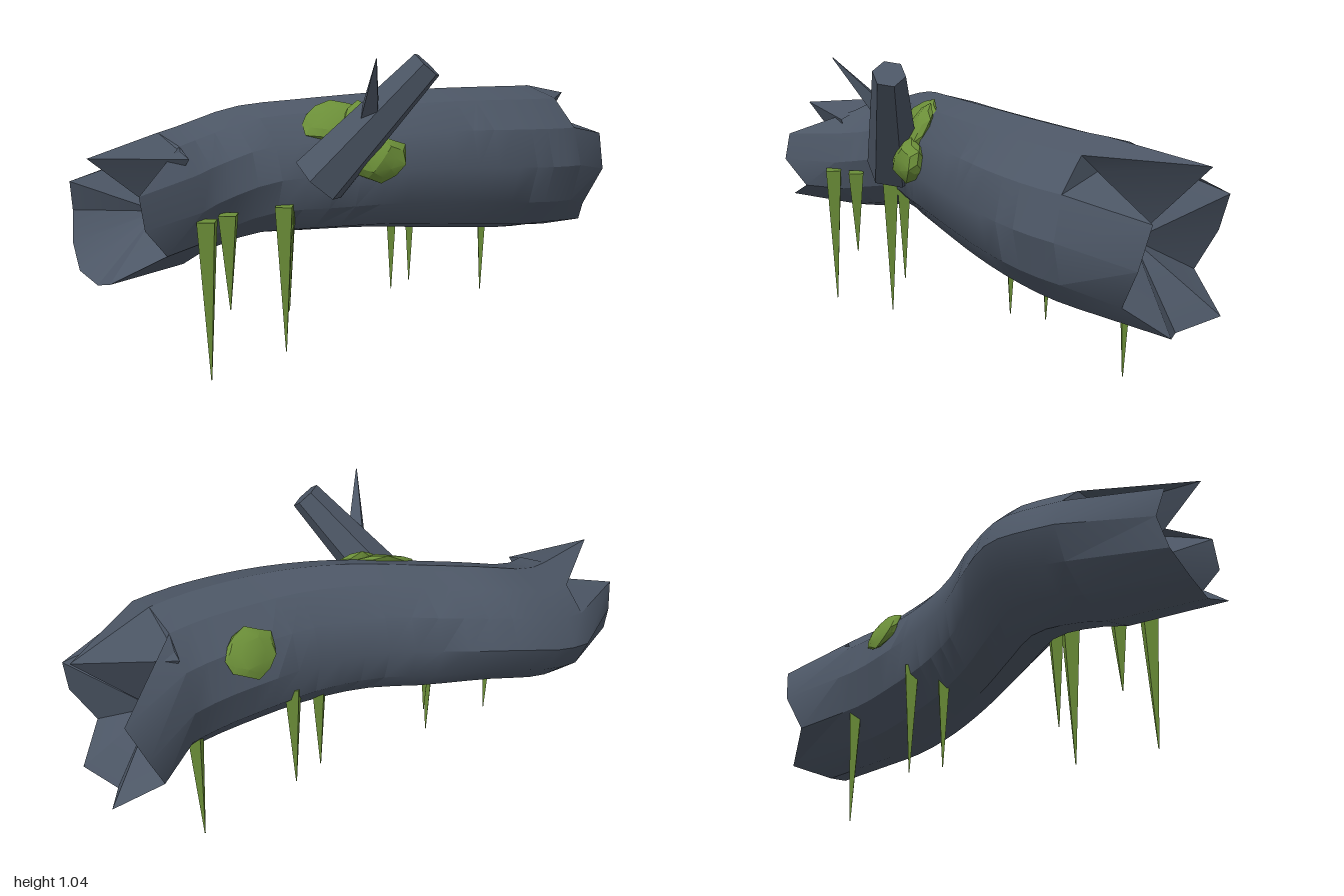
import * as THREE from 'three';
import { toCreasedNormals } from 'three/addons/utils/BufferGeometryUtils.js';

const SIDES = 12;

// Smooth value along the log, from samples evenly spaced over x = -1..1
function along(samples) {
  const curve = new THREE.SplineCurve(samples.map((v, i) => new THREE.Vector2(i, v)));
  return (x) => curve.getPoint((x + 1) / 2).y;
}
const top = along([0.755, 0.78, 0.80, 0.85, 0.87, 0.885, 0.89, 0.885, 0.875, 0.86, 0.82]);
const bottom = along([0.355, 0.33, 0.36, 0.40, 0.405, 0.405, 0.385, 0.36, 0.335, 0.32, 0.32]);
const back = along([-0.28, -0.435, -0.47, -0.43, -0.32, -0.19, -0.11, -0.075, -0.055, -0.08, -0.13]);
const front = along([0.06, 0.07, 0.0, 0.04, 0.16, 0.27, 0.36, 0.43, 0.46, 0.44, 0.34]);

// Point on the log surface; angle 0 is the top, turning towards +z.
// The outside of the rear bend is slightly ridged.
function logPoint(x, a) {
  const t = top(x), b = bottom(x), k = back(x), f = front(x);
  const ridge = THREE.MathUtils.smoothstep(-x, 0.1, 0.4) * Math.max(0, -Math.sin(a)) * Math.abs(Math.cos(a));
  const r = 1 - 0.15 * ridge;
  return new THREE.Vector3(x,
    (t + b) / 2 + r * Math.cos(a) * (t - b) / 2,
    (f + k) / 2 + r * Math.sin(a) * (f - k) / 2);
}

// Splintered ends: round outline, with the x that each of the twelve columns reaches
const rightEnd = {
  y: 0.545, z: 0.125, r: 0.265, core: 0.74,
  reach: [0.995, 0.69, 0.94, 0.92, 0.85, 0.96, 0.9, 0.98, 0.83, 0.89, 0.94, 0.69],
};
const leftEnd = {
  y: 0.555, z: -0.125, r: 0.2, core: -0.76,
  reach: [-1, -0.7, -0.93, -0.93, -0.84, -1, -0.985, -0.99, -0.97, -0.95, -0.97, -0.7],
};

function logGeometry() {
  const angles = Array.from({ length: SIDES }, (_, j) => j / SIDES * Math.PI * 2);
  const endRing = (e) => angles.map((a, j) =>
    new THREE.Vector3(e.reach[j], e.y + e.r * Math.cos(a), e.z + e.r * Math.sin(a)));
  const rings = [endRing(leftEnd)];
  for (let i = 0; i <= 18; i++) {
    const x = -0.69 + i * 1.37 / 18;
    rings.push(angles.map((a) => logPoint(x, a)));
  }
  rings.push(endRing(rightEnd));

  const pos = [];
  const tri = (...pts) => pts.forEach((p) => pos.push(p.x, p.y, p.z));
  const last = rings.length - 1;
  const leftCore = new THREE.Vector3(leftEnd.core, leftEnd.y, leftEnd.z);
  const rightCore = new THREE.Vector3(rightEnd.core, rightEnd.y, rightEnd.z);
  for (let j = 0; j < SIDES; j++) {
    const n = (j + 1) % SIDES;
    for (let i = 0; i < last; i++) {
      tri(rings[i][j], rings[i][n], rings[i + 1][j]);
      tri(rings[i + 1][j], rings[i][n], rings[i + 1][n]);
    }
    tri(leftCore, rings[0][n], rings[0][j]);
    tri(rightCore, rings[last][j], rings[last][n]);
  }
  const g = new THREE.BufferGeometry();
  g.setAttribute('position', new THREE.Float32BufferAttribute(pos, 3));
  return toCreasedNormals(g, 0.5);
}

export function createModel() {
  const model = new THREE.Group();
  const bark = new THREE.MeshStandardMaterial({ color: 0x4c5665 });
  bark.name = 'slate bark';
  const moss = new THREE.MeshStandardMaterial({ color: 0x6b8e38 });
  moss.name = 'moss green';

  const add = (name, geometry, material) => {
    const mesh = new THREE.Mesh(geometry, material);
    mesh.name = name;
    model.add(mesh);
    return mesh;
  };
  const UP = new THREE.Vector3(0, 1, 0);

  // Tapered rod between two points
  function rod(name, from, to, r0, r1, sides, material) {
    const a = new THREE.Vector3(...from), b = new THREE.Vector3(...to);
    const g = new THREE.CylinderGeometry(r1, r0, a.distanceTo(b), sides);
    const mesh = add(name, toCreasedNormals(g, 0.5), material);
    mesh.position.copy(a).add(b).multiplyScalar(0.5);
    mesh.quaternion.setFromUnitVectors(UP, b.clone().sub(a).normalize());
  }

  add('log', logGeometry(), bark);
  rod('branch', [-0.285, 0.625, 0.11], [-0.047, 1.01, 0.372], 0.1, 0.056, 6, bark);
  rod('twig', [-0.175, 0.82, 0.235], [-0.29, 1.045, 0.392], 0.045, 0.002, 4, bark);

  // Hanging moss: x, z, tip height, top radius
  const strands = [
    [-0.685, 0.04, 0.01, 0.04], [-0.585, 0.015, 0.22, 0.04], [-0.375, 0.04, 0.03, 0.04],
    [-0.335, 0.01, 0.16, 0.035], [0.165, -0.005, 0.13, 0.035], [0.295, -0.04, 0.13, 0.035],
    [0.65, 0.013, 0.03, 0.035],
  ];
  for (const [x, z, tip, r] of strands) rod('mossStrand', [x, 0.54, z], [x, tip, z], r, 0.002, 4, moss);

  // Lumpy flattened clump lying on the log
  function clump(x, angle, sx, sn, sz, lift = 0) {
    const g = new THREE.IcosahedronGeometry(1, 1);
    const p = g.attributes.position, v = new THREE.Vector3();
    for (let i = 0; i < p.count; i++) {
      v.fromBufferAttribute(p, i);
      v.multiplyScalar(1 + 0.1 * Math.sin(5 * v.x + 3 * v.z + x * 9) * Math.cos(4 * v.y));
      p.setXYZ(i, v.x, v.y, v.z);
    }
    g.scale(sx, sn, sz);
    const mesh = add('mossClump', toCreasedNormals(g, 0.4), moss);
    const here = logPoint(x, angle);
    const lengthwise = logPoint(x + 0.02, angle).sub(here).normalize();
    const around = logPoint(x, angle + 0.02).sub(here).normalize();
    const normal = around.clone().cross(lengthwise).normalize();
    around.crossVectors(lengthwise, normal);
    mesh.quaternion.setFromRotationMatrix(new THREE.Matrix4().makeBasis(lengthwise, normal, around));
    mesh.position.copy(here).addScaledVector(normal, lift);
  }
  clump(-0.19, 0.72, 0.115, 0.025, 0.08, -0.005);
  clump(-0.13, 0.98, 0.08, 0.033, 0.11);
  clump(-0.105, 1.38, 0.1, 0.05, 0.075, 0.01);
  clump(0.45, -1.12, 0.09, 0.028, 0.085);

  return model;
}
